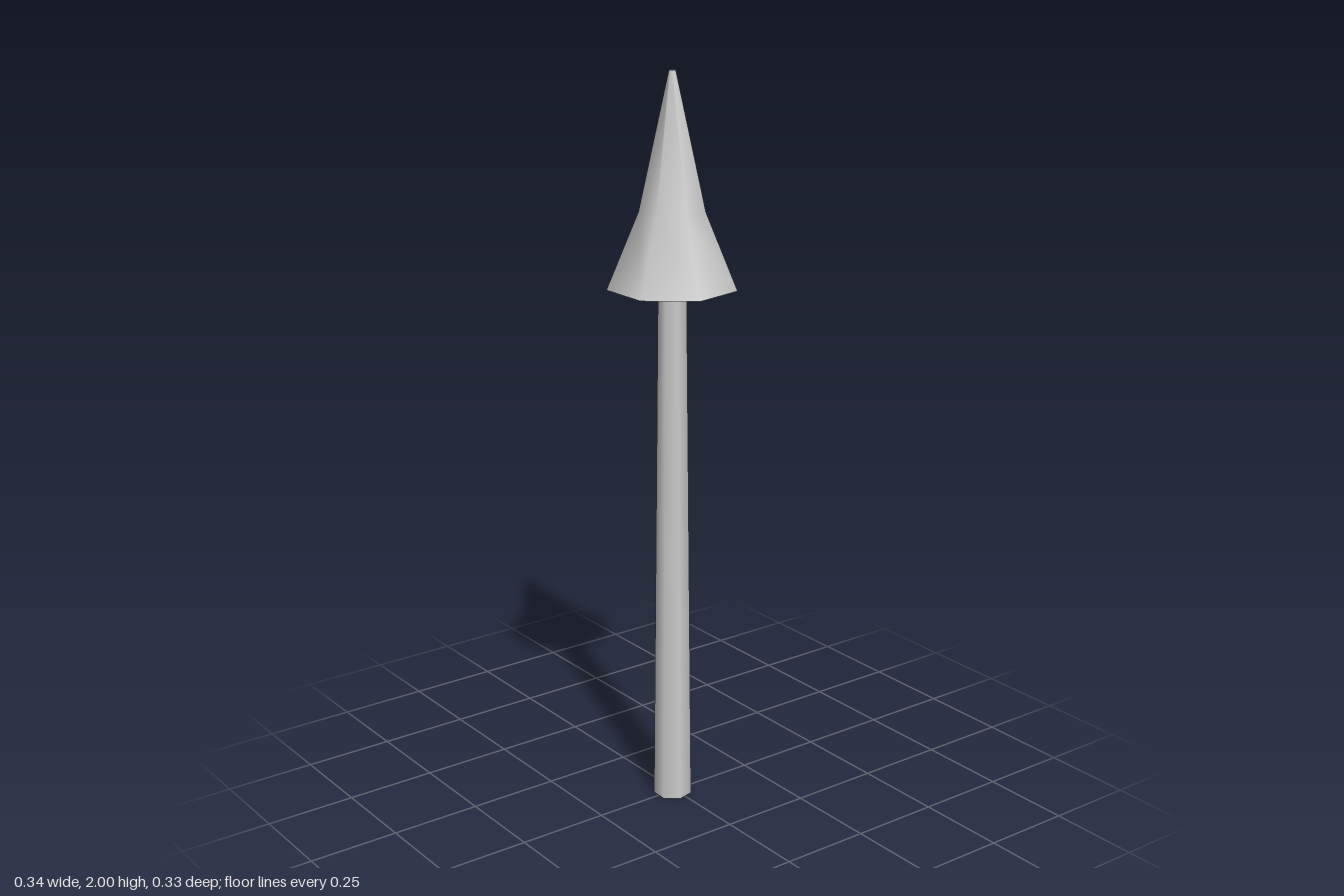
import * as THREE from 'three';

const SIDES = 7;

export function createModel() {
  const model = new THREE.Group();
  const solid = new THREE.MeshStandardMaterial({ color: 0xcccccc });
  const open = new THREE.MeshStandardMaterial({ color: 0xcccccc, side: THREE.DoubleSide });

  function add(name, geometry, material, y = 0) {
    const mesh = new THREE.Mesh(geometry, material);
    mesh.name = name;
    mesh.position.set(0, y, 0.0075);
    model.add(mesh);
  }

  // Tapered trunk, open at the base, one corner pointing back
  const trunkHeight = 1.445;
  add('trunk',
    new THREE.CylinderGeometry(0.038, 0.053, trunkHeight, SIDES, 1, true, Math.PI),
    open, trunkHeight / 2);

  // Foliage: a flared skirt below a steep cone, smooth shaded
  const profile = [[0.1725, 1.445], [0.088, 1.645], [0.009, 2]]
    .map(([r, y]) => new THREE.Vector2(r, y));
  add('foliage', new THREE.LatheGeometry(profile, SIDES, Math.PI), solid);

  // Flat underside and tiny blunt tip
  add('foliageUnderside',
    new THREE.CircleGeometry(0.1725, SIDES, -Math.PI / 2).rotateX(Math.PI / 2), solid, 1.445);
  add('foliageTip',
    new THREE.CircleGeometry(0.009, SIDES, Math.PI / 2).rotateX(-Math.PI / 2), solid, 2);

  return model;
}
